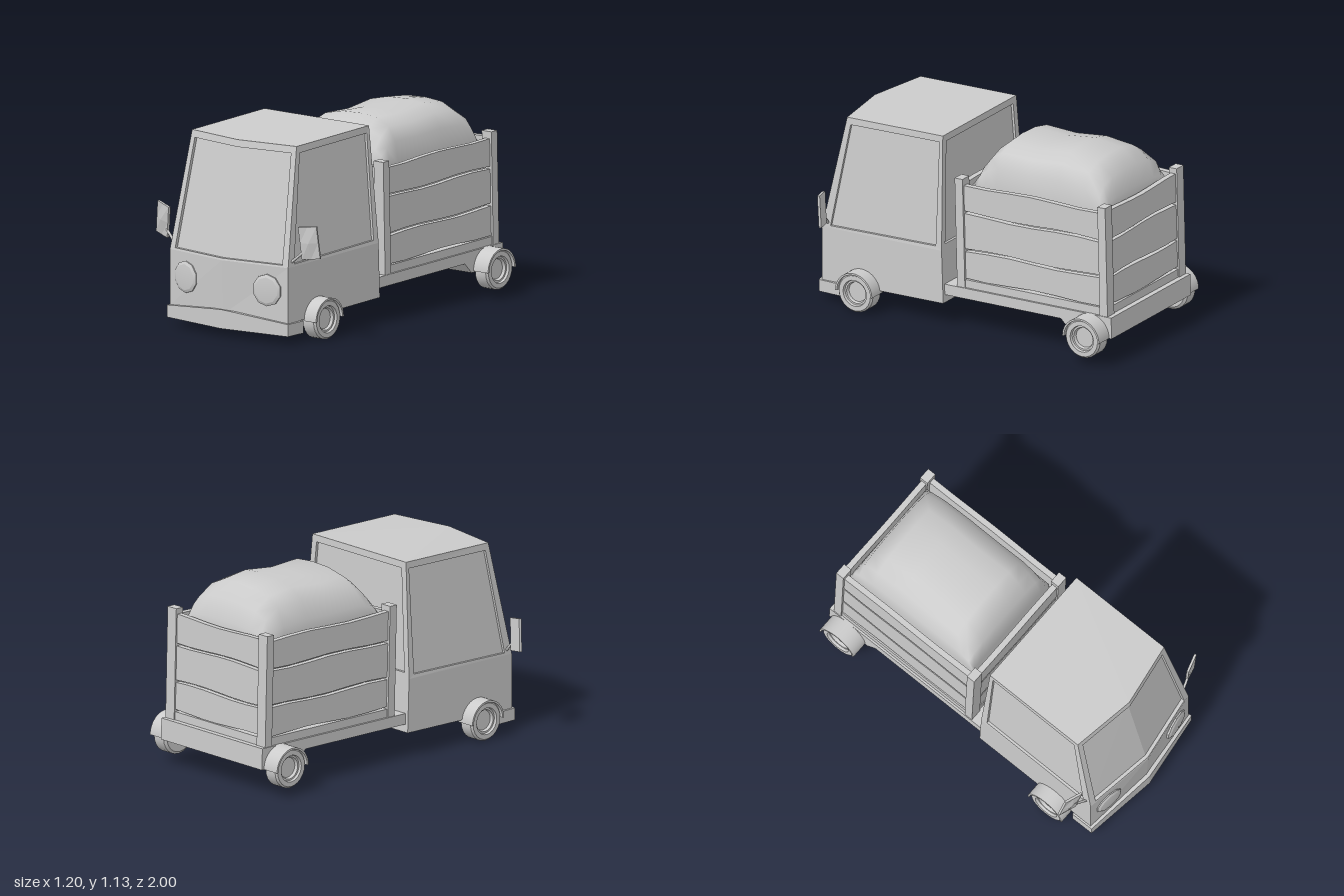
import * as THREE from 'three';
import { toCreasedNormals } from 'three/addons/utils/BufferGeometryUtils.js';

const mat = new THREE.MeshStandardMaterial({ color: 0xcccccc });

function add(parent, geo, name, x = 0, y = 0, z = 0) {
  const m = new THREE.Mesh(geo, mat);
  m.name = name;
  m.position.set(x, y, z);
  parent.add(m);
  return m;
}

// Flat faces from loops of corners, counter-clockwise seen from outside
const fan = (out, p) => {
  for (let i = 1; i < p.length - 1; i++) out.push(p[0], p[i], p[i + 1]);
};
const ring = (out, a, b) => a.forEach((_, i) => {
  const j = (i + 1) % a.length;
  out.push(a[i], a[j], b[j], a[i], b[j], b[i]);
});
const mirror = (pts) => pts.map(([x, y, z]) => [-x, y, z]).reverse();
function solid(tris) {
  const g = new THREE.BufferGeometry();
  g.setAttribute('position', new THREE.Float32BufferAttribute(tris.flat(), 3));
  g.computeVertexNormals();
  return g;
}
// Window: frame, rim and recessed pane
function windowPanel(out, outer, inner, [dx, dy, dz]) {
  const deep = inner.map(([x, y, z]) => [x + dx, y + dy, z + dz]);
  ring(out, outer, inner);
  ring(out, inner, deep);
  fan(out, deep);
}

function buildCab(g) {
  const roofF = [0.38, 1.11, 0.79], roofR = [0.38, 1.13, 0.15], roofC = [0, 1.11, 0.85];
  const beltF = [0.43, 0.44, 0.925], beltR = [0.43, 0.46, 0.126], beltC = [0, 0.44, 0.99];
  const lowF = [0.43, 0.12, 0.925], lowR = [0.43, 0.145, 0.115], lowC = [0, 0.13, 0.975];
  const m = ([x, y, z]) => [-x, y, z];
  const t = [];
  // Lower walls, floor and roof
  const wall = [lowF, lowR, beltR, beltF];
  fan(t, wall);
  fan(t, mirror(wall));
  fan(t, [lowC, lowF, beltF, beltC]);
  fan(t, mirror([lowC, lowF, beltF, beltC]));
  fan(t, [lowR, m(lowR), m(beltR), beltR]);
  fan(t, [lowC, m(lowF), m(lowR), lowR, lowF]);
  fan(t, [roofC, roofF, roofR, m(roofR), m(roofF)]);
  // Side windows
  const sideX = (y) => 0.38 + (1.11 - y) * 0.075;
  const side = [beltF, beltR, roofR, roofF];
  const pane = [[0.455, 0.87], [0.48, 0.167], [1.09, 0.172], [1.07, 0.765]].map(([y, z]) => [sideX(y), y, z]);
  windowPanel(t, side, pane, [-0.015, 0, 0]);
  windowPanel(t, mirror(side), mirror(pane), [0.015, 0, 0]);
  // Windshield, creased along the middle
  windowPanel(t, [roofC, m(roofF), m(beltF), beltC, beltF, roofF],
    [[0, 1.07, 0.858], [-0.35, 1.07, 0.803], [-0.39, 0.452, 0.928], [0, 0.452, 0.987], [0.39, 0.452, 0.928], [0.35, 1.07, 0.803]],
    [0, 0, -0.02]);
  // Rear window
  const rz = (y) => 0.115 + (y - 0.145) * 0.0355;
  windowPanel(t, [beltR, m(beltR), m(roofR), roofR],
    [[0.39, 0.49], [-0.39, 0.49], [-0.345, 1.09], [0.345, 1.09]].map(([x, y]) => [x, y, rz(y)]), [0, 0, 0.015]);
  add(g, solid(t), 'cab');

  // Bumper with a raised middle
  const plan = [[0, 1], [0.44, 0.94], [0.44, 0.8], [-0.44, 0.8], [-0.44, 0.94]];
  const bottom = plan.map(([x, z]) => [x, 0.05, z]);
  const top = plan.map(([x, z]) => [x, x ? 0.12 : 0.16, z]);
  const b = [];
  ring(b, bottom, top);
  fan(b, top);
  fan(b, [...bottom].reverse());
  add(g, solid(b), 'frontBumper');

  for (const s of [1, -1]) {
    // Headlight: ten-sided disc with a shallow dome
    const profile = [[0, -0.03], [0.092, -0.03], [0.092, 0.004], [0.075, 0.012], [0, 0.02]].map((p) => new THREE.Vector2(...p));
    const lamp = add(g, toCreasedNormals(new THREE.LatheGeometry(profile, 10), 0.3), 'headlight', s * 0.295, 0.3, 0.948);
    lamp.rotation.set(Math.PI / 2, 0, -s * 0.15);
    // Mirror with a raised centre, on a thin arm
    const face = new THREE.BoxGeometry(0.112, 0.187, 0.014, 2, 2, 1);
    const p = face.attributes.position;
    for (let i = 0; i < p.count; i++) {
      if (Math.abs(p.getX(i)) < 0.01 && Math.abs(p.getY(i)) < 0.01 && p.getZ(i) > 0) p.setZ(i, 0.02);
    }
    const plate = add(g, toCreasedNormals(face, 0.1), 'sideMirror', s * 0.532, 0.588, 0.86);
    plate.rotation.set(0.08, s * 0.3, s > 0 ? 0.07 : -0.17);
    const arm = new THREE.LineCurve3(new THREE.Vector3(s * 0.42, 0.465, 0.89), new THREE.Vector3(s * 0.5, 0.535, 0.868));
    add(g, new THREE.TubeGeometry(arm, 1, 0.008, 6), 'mirrorArm');
  }
}

function buildWheels(g) {
  const profile = [[0, -0.05], [0.1, -0.05], [0.115, -0.038], [0.115, 0.038], [0.105, 0.05], [0.078, 0.05],
    [0.074, 0.035], [0.064, 0.035], [0.058, 0.018], [0, 0.018]].map((p) => new THREE.Vector2(...p));
  const tyre = toCreasedNormals(new THREE.LatheGeometry(profile, 24), 0.6);
  const arch = new THREE.Shape();
  arch.absarc(0, 0, 0.123, 0, Math.PI, false);
  arch.absarc(0, 0, 0.112, Math.PI, 0, true);
  const fender = toCreasedNormals(new THREE.ExtrudeGeometry(arch, { depth: 0.115, bevelEnabled: false, curveSegments: 12 }), 0.5);
  fender.translate(0, 0, -0.0575).rotateY(Math.PI / 2);
  for (const [name, y, z] of [['front', 0.115, 0.66], ['rear', 0.16, -0.86]]) {
    for (const s of [1, -1]) {
      add(g, tyre, name + 'Wheel', s * 0.453, y, z).rotation.z = -s * Math.PI / 2;
      add(g, fender, name + 'Fender', s * 0.458, y, z);
    }
  }
}

// Plank with slightly wavy long edges
function plank(length, height, seed) {
  const geo = new THREE.BoxGeometry(length, height, 0.034, 6, 1, 1);
  const p = geo.attributes.position;
  for (let i = 0; i < p.count; i++) {
    const edge = Math.sign(p.getY(i));
    p.setY(i, p.getY(i) + 0.006 * Math.sin(p.getX(i) * 9 + seed * 2.3 + edge));
  }
  return geo;
}

function buildBed(parent) {
  const g = new THREE.Group();
  g.name = 'bed';
  g.rotation.x = 0.026;
  parent.add(g);
  // Deck with a deeper rear end
  const shape = new THREE.Shape([[-0.13, 0.195], [0.665, 0.195], [0.725, 0.133], [1.003, 0.133], [1.003, 0.258], [-0.13, 0.258]]
    .map((p) => new THREE.Vector2(...p)));
  const deck = new THREE.ExtrudeGeometry(shape, { depth: 0.82, bevelEnabled: false });
  deck.translate(0, 0, -0.41).rotateY(Math.PI / 2);
  add(g, deck, 'deck');
  // Corner posts
  for (const s of [1, -1]) {
    for (const z of [0.005, -0.95]) add(g, new THREE.BoxGeometry(0.07, 0.655, 0.052), 'cornerPost', s * 0.37, 0.58, z);
    add(g, new THREE.BoxGeometry(0.045, 0.055, 0.92), 'sideSill', s * 0.375, 0.278, -0.47);
  }
  for (const z of [0.005, -0.95]) add(g, new THREE.BoxGeometry(0.7, 0.055, 0.04), 'endSill', 0, 0.278, z);
  // Three planks on each side of the crate
  [[0.314, 0.475], [0.491, 0.694], [0.71, 0.87]].forEach(([lo, hi], i) => {
    const h = hi - lo, y = (lo + hi) / 2;
    for (const s of [1, -1]) {
      add(g, plank(0.92, h, i + s), 'sidePlank', s * 0.375, y, -0.472).rotation.y = s * Math.PI / 2;
    }
    add(g, plank(0.69, h, i + 3), 'frontPlank', 0, y, 0.005);
    add(g, plank(0.69, h, i + 5), 'tailPlank', 0, y, -0.95);
  });
}

// Soft load: heights along the length, shaped across the width
function buildLoad(g) {
  const along = [[-0.9, 0.86], [-0.885, 0.92], [-0.85, 1.035], [-0.75, 1.11], [-0.57, 1.13], [-0.37, 1.103],
    [-0.17, 1.11], [-0.1, 1.05], [-0.05, 0.97], [-0.01, 0.86]];
  const across = [[-0.34, 0], [-0.325, 0.3], [-0.28, 0.68], [-0.2, 0.88], [-0.08, 0.98], [0.05, 1],
    [0.17, 0.96], [0.26, 0.8], [0.305, 0.5], [0.33, 0]];
  const nx = across.length + 1, nz = along.length + 1;
  const geo = new THREE.PlaneGeometry(1, 1, nx, nz);
  const p = geo.attributes.position;
  for (let k = 0; k <= nz; k++) {
    for (let i = 0; i <= nx; i++) {
      const [z, h] = along[Math.min(Math.max(k - 1, 0), along.length - 1)];
      const [x, f] = across[Math.min(Math.max(i - 1, 0), across.length - 1)];
      const skirt = i === 0 || i === nx || k === 0 || k === nz;
      p.setXYZ(k * (nx + 1) + i, x, skirt ? 0.3 : 0.85 + (h - 0.85) * f, z);
    }
  }
  geo.computeVertexNormals();
  add(g, geo, 'load');
}

export function createModel() {
  const g = new THREE.Group();
  g.name = 'truck';
  buildCab(g);
  buildBed(g);
  buildLoad(g);
  buildWheels(g);
  return g;
}
